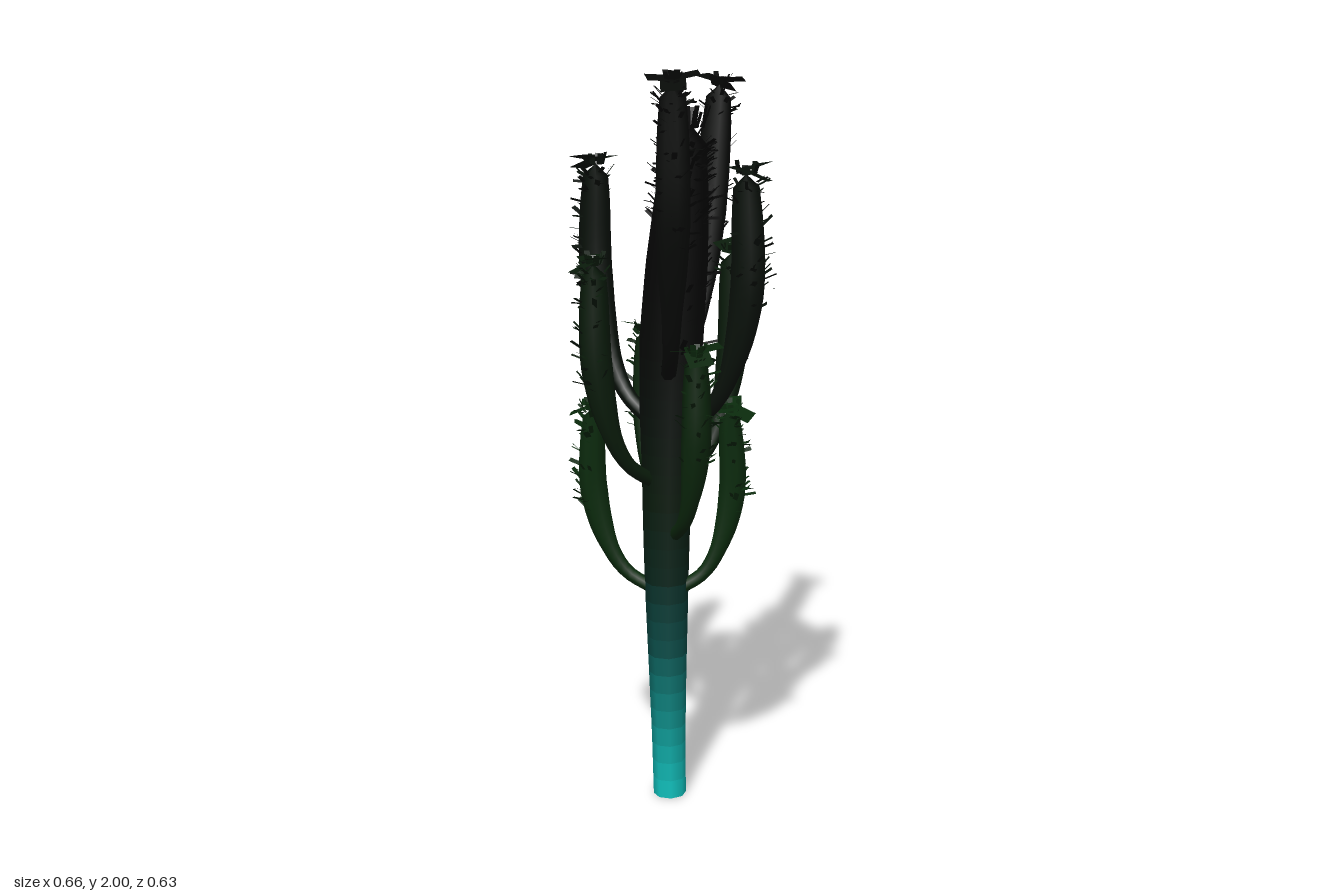
import * as THREE from 'three';
import { mergeGeometries } from 'three/addons/utils/BufferGeometryUtils.js';

let seed = 7;
const rand = (a = 0, b = 1) => {
  seed = (seed * 16807) % 2147483647;
  return a + (b - a) * (seed / 2147483647);
};
const V = (x, y, z) => new THREE.Vector3(x, y, z);
const paint = (color) => new THREE.MeshStandardMaterial({ color, side: THREE.DoubleSide });

// Position and fraction within a list of evenly spaced stops
function locate(stops, t) {
  const f = t * (stops.length - 1);
  const i = Math.min(Math.floor(f), stops.length - 2);
  return [i, f - i];
}
function radiusAt(stops, t) {
  const [i, f] = locate(stops, t);
  return THREE.MathUtils.lerp(stops[i], stops[i + 1], f);
}
function colorAt(stops, t) {
  const [i, f] = locate(stops, t);
  return new THREE.Color(stops[i]).lerp(new THREE.Color(stops[i + 1]), f);
}

// Tube of varying thickness, closed to a blunt tip
function limb(curve, stops, segments, sides) {
  const geo = new THREE.TubeGeometry(curve, segments, 1, sides);
  const pos = geo.attributes.position;
  const v = V();
  for (let i = 0; i <= segments; i++) {
    const centre = curve.getPointAt(i / segments);
    const r = i === segments ? 0.001 : radiusAt(stops, i / segments);
    for (let j = 0; j <= sides; j++) {
      const k = i * (sides + 1) + j;
      v.fromBufferAttribute(pos, k).sub(centre).multiplyScalar(r).add(centre);
      pos.setXYZ(k, v.x, v.y, v.z);
    }
  }
  return geo;
}

// Flat leaf growing from base along dir
function leaf(base, dir, side, length, width) {
  const y = dir.clone().normalize();
  const z = V().crossVectors(side, y).normalize();
  const x = V().crossVectors(y, z);
  const m = new THREE.Matrix4().makeBasis(x, y, z).setPosition(base);
  return new THREE.PlaneGeometry(width, length).translate(0, length / 2, 0).applyMatrix4(m);
}

// Short bristles on the upper part of a limb, mostly on its outer side
function bristles(curve, stops, count, from, facing, spread, longest) {
  const list = [];
  for (let i = 0; i < count; i++) {
    const t = rand(from, 0.98);
    const a = facing + rand(-spread, spread);
    const out = V(Math.cos(a), 0, Math.sin(a));
    const base = curve.getPointAt(t).addScaledVector(out, radiusAt(stops, t) * 0.9);
    const dir = out.clone().add(V(0, rand(0, 1.2), 0));
    const side = V(-out.z, rand(-0.8, 0.8), out.x);
    list.push(leaf(base, dir, side, rand(0.018, longest), rand(0.007, 0.016)));
  }
  return list;
}

// Rosette of upright bristles round a limb's tip
function crown(tip, radius, count, length) {
  const list = [];
  for (let i = 0; i < count; i++) {
    const a = (i / count) * Math.PI * 2 + rand(-0.3, 0.3);
    const out = V(Math.cos(a), 0, Math.sin(a));
    const base = tip.clone().addScaledVector(out, radius * rand(0.3, 0.9));
    const dir = out.clone().multiplyScalar(rand(0.1, 0.6)).add(V(0, 1, 0));
    list.push(leaf(base, dir, V(-out.z, 0, out.x), length * rand(0.6, 1), 0.016));
  }
  return list;
}

// Broad square leaves flaring from a branch tip, some tilted up, some drooping
function flare(tip, facing) {
  return [-1.5, 0.1, 1.6].map((turn, i) => {
    const a = facing + turn + rand(-0.3, 0.3);
    const out = V(Math.cos(a), 0, Math.sin(a));
    const base = tip.clone().addScaledVector(out, -0.005).add(V(0, 0.012, 0));
    const dir = out.clone().add(V(0, [0.2, -0.4, 0.05][i], 0));
    return leaf(base, dir, V(-out.z, rand(-0.3, 0.3), out.x), 0.072, 0.064);
  });
}

export function createModel() {
  const model = new THREE.Group();
  const add = (name, geo, color, parent = model) => {
    const mesh = new THREE.Mesh(geo, paint(color));
    mesh.name = name;
    parent.add(mesh);
  };

  // Trunk: one tube split into colour bands, fading from cyan to near black
  const trunk = new THREE.Group();
  trunk.name = 'trunk';
  model.add(trunk);
  const trunkCurve = new THREE.CatmullRomCurve3([
    V(-0.062, 0, 0.012), V(-0.064, 0.4, 0.006), V(-0.06, 0.8, 0),
    V(-0.05, 1.2, 0.003), V(-0.04, 1.55, 0.025), V(-0.033, 1.86, 0.05)]);
  const trunkRadii = [0.045, 0.047, 0.052, 0.058, 0.063, 0.068, 0.078, 0.085, 0.082, 0.07, 0.045];
  const segments = 36, sides = 8;
  const trunkGeo = limb(trunkCurve, trunkRadii, segments, sides);
  const indices = Array.from(trunkGeo.index.array);
  const fade = [0x10c0bc, 0x0d8a86, 0x0a4c48, 0x08241a, 0x08190b, 0x07100a, 0x060806, 0x050505, 0x050505, 0x050505];
  for (let i = 0; i < segments; i++) {
    const band = trunkGeo.clone();
    band.setIndex(indices.slice(i * sides * 6, (i + 1) * sides * 6));
    add('trunkBand' + (i + 1), band, colorAt(fade, i / segments), trunk);
  }
  add('trunkBristles', mergeGeometries([
    ...bristles(trunkCurve, trunkRadii, 90, 0.66, 1.1, 1.8, 0.05),
    ...bristles(trunkCurve, trunkRadii, 130, 0.86, 1.1, Math.PI, 0.045),
    ...crown(V(-0.033, 1.845, 0.05), 0.055, 26, 0.06)]), 0x050505, trunk);

  // Branches in opposite pairs climbing the trunk: root height, colour, thickness,
  // and tips as [x, top, z, belly]
  const tiers = [
    { y0: 0.6, color: 0x0a2a0c, r: 0.037, tips: [[0.04, 1.13, 0.135, 1.05], [-0.17, 1.13, -0.165, 1]] },
    { y0: 0.76, color: 0x0a250b, r: 0.038, tips: [[0.06, 1.31, -0.175, 1], [-0.135, 1.31, 0.165, 1]] },
    { y0: 0.91, color: 0x091b0a, r: 0.04, tips: [[0.13, 1.54, 0.07, 1], [-0.275, 1.54, -0.06, 0.97]] },
    { y0: 1.06, color: 0x081009, r: 0.043, tips: [[-0.07, 1.77, -0.24, 1], [-0.03, 1.77, 0.24, 1.02]] },
    { y0: 1.2, color: 0x070907, r: 0.044, tips: [[0.25, 1.97, -0.075, 0.82], [-0.215, 2, 0.155, 1.03]] }];
  // Elbow shape as [outward, upward] fractions from root to tip
  const bend = [[0.2, 0], [0.56, 0.09], [0.8, 0.24], [1, 0.55], [1, 1]];
  tiers.forEach(({ y0, color, r, tips }, tier) => tips.forEach(([x, y1, z, belly], n) => {
    const branch = new THREE.Group();
    branch.name = `branch${tier + 1}_${n + 1}`;
    model.add(branch);
    const cx = -0.06, cz = 0.003, top = y1 - 0.032;
    const at = (f, h) => V(cx + (x - cx) * f, y0 + (top - y0) * h, cz + (z - cz) * f);
    const curve = new THREE.CatmullRomCurve3(
      bend.map(([f, h], i) => at(i === 0 || i === 4 ? f : f * belly, h)));
    const radii = [0.48, 0.5, 0.62, 0.88, 1.03, 1.02, 0.94, 0.72].map((s) => s * r);
    const facing = Math.atan2(z - cz, x - cx);
    add('stem', limb(curve, radii, 24, 8), color, branch);
    add('leaves', mergeGeometries([
      ...bristles(curve, radii, 36, 0.5, facing, 1.7, 0.038),
      ...bristles(curve, radii, 14, 0.9, facing, Math.PI, 0.038),
      ...crown(at(1, 1), 0.03, 9, 0.036),
      ...flare(at(1, 1), facing)]), color, branch);
  }));
  return model;
}
